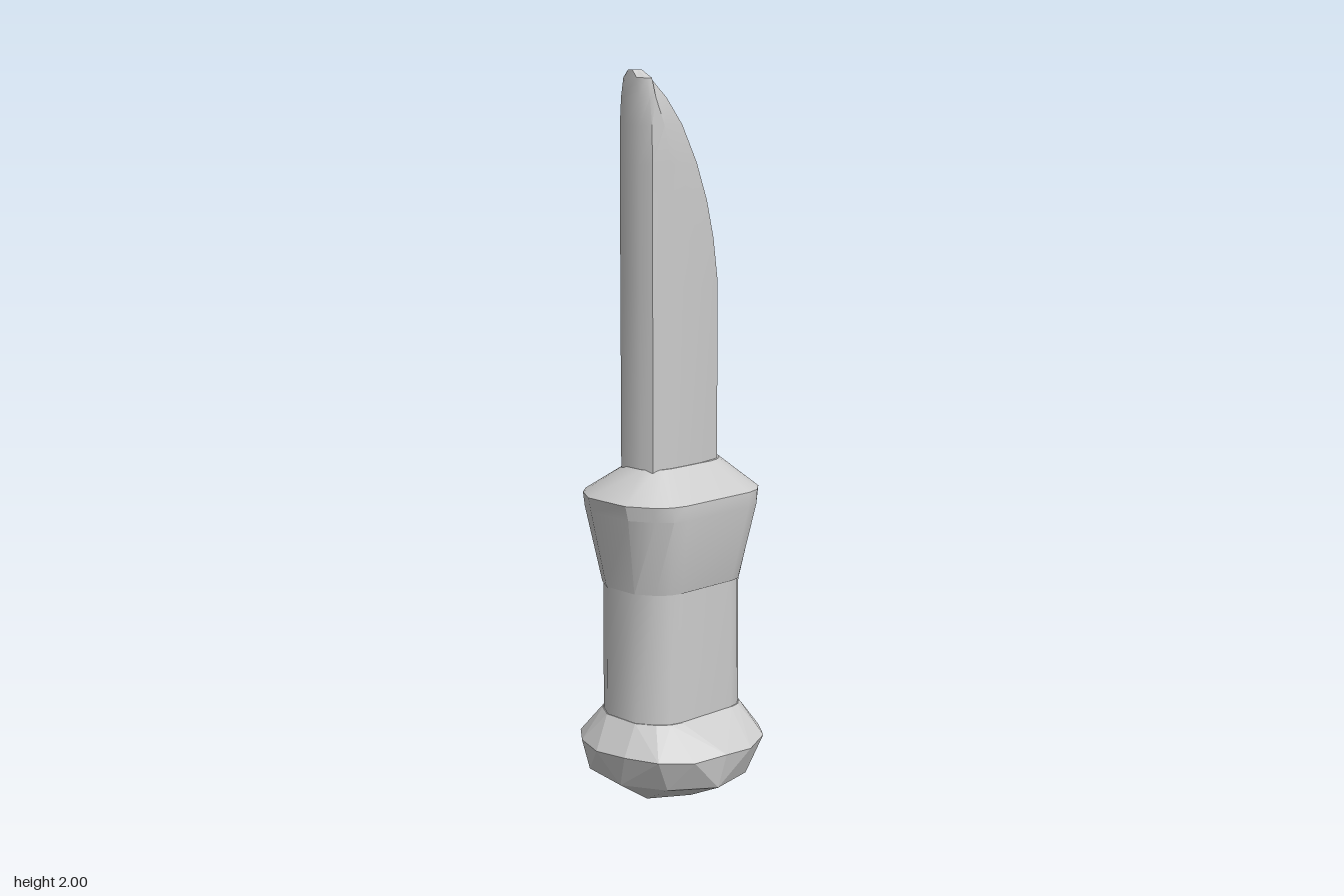
import * as THREE from 'three';
import { toCreasedNormals } from 'three/addons/utils/BufferGeometryUtils.js';
import { ConvexGeometry } from 'three/addons/geometries/ConvexGeometry.js';

// Skin a stack of equal-sized rings (bottom to top) and close both ends.
function loft(rings, crease) {
  const n = rings[0].length, pos = [], index = [];
  rings.forEach(r => r.forEach(p => pos.push(p.x, p.y, p.z)));
  for (let i = 0; i < rings.length - 1; i++) {
    for (let j = 0; j < n; j++) {
      const a = i * n + j, b = i * n + (j + 1) % n;
      index.push(a, a + n, b, b, a + n, b + n);
    }
  }
  const top = (rings.length - 1) * n;
  for (let j = 1; j < n - 1; j++) {
    index.push(0, j, j + 1, top, top + j + 1, top + j);
  }
  const g = new THREE.BufferGeometry();
  g.setAttribute('position', new THREE.Float32BufferAttribute(pos, 3));
  g.setIndex(index);
  return toCreasedNormals(g, crease);
}

// Rounded-rectangle outline shared by the grip and the guard.
const quarter = [[1, 0.5], [0.94, 0.68], [0.76, 0.84], [0.4, 1]];
const mirrored = [...quarter].reverse();
const outline = [
  ...quarter,
  ...mirrored.map(([x, z]) => [-x, z]),
  ...quarter.map(([x, z]) => [-x, -z]),
  ...mirrored.map(([x, z]) => [x, -z]),
];
const handleRing = (y, hx, hz, cx = 0, cz = 0) =>
  outline.map(([x, z]) => new THREE.Vector3(cx + x * hx, y, cz + z * hz));

// Blade outline: flat spine toward +z, rounded edge toward -z.
const bladeOutline = [
  [0.083, -0.03], [0.083, 0.08], [0.07, 0.135], [0.035, 0.147], [-0.03, 0.147], [-0.05, 0.138],
  [-0.06, 0.12], [-0.06, -0.05], [-0.045, -0.1], [0, -0.135], [0.07, -0.105],
];
// The edge sweeps forward by `shift`, the sides narrow by `sx` toward the tip.
const bladeRing = (y, shift, sx) => bladeOutline.map(([x, z]) =>
  new THREE.Vector3(x * sx, y, z < 0 ? Math.min(z + shift, 0.125) : Math.max(z, Math.min(shift - 0.03, 0.125))));

function pommelGeometry() {
  let seed = 7;
  const jitter = s => {
    seed = (seed * 16807) % 2147483647;
    return (seed / 2147483647 - 0.5) * s;
  };
  const points = handleRing(0.27, 0.14, 0.19);
  // Each row: height, radius, number of corners, unevenness
  for (const [y, r, n, s] of [[0.185, 0.252, 16, 0.012], [0.1, 0.222, 10, 0.025], [0.035, 0.12, 6, 0.02]]) {
    for (let i = 0; i < n; i++) {
      const a = ((i + 0.3) / n) * Math.PI * 2, rr = r + jitter(s);
      points.push(new THREE.Vector3(Math.cos(a) * rr, y + jitter(s), Math.sin(a) * rr));
    }
  }
  points.push(new THREE.Vector3(-0.015, 0, -0.015));
  return new ConvexGeometry(points);
}

export function createModel() {
  const group = new THREE.Group();
  const smooth = new THREE.MeshStandardMaterial({ color: 0xcccccc });
  const faceted = new THREE.MeshStandardMaterial({ color: 0xcccccc, flatShading: true });
  const add = (name, geometry, material = smooth) => {
    const mesh = new THREE.Mesh(geometry, material);
    mesh.name = name;
    group.add(mesh);
  };

  add('pommel', pommelGeometry(), faceted);

  add('grip', loft([handleRing(0.26, 0.137, 0.188), handleRing(0.64, 0.135, 0.188)], 0.7));

  // Flared guard with a sloped shoulder up to the blade
  add('guard', loft([
    handleRing(0.63, 0.138, 0.19),
    handleRing(0.84, 0.182, 0.228),
    handleRing(0.88, 0.18, 0.237),
    handleRing(0.96, 0.075, 0.143, 0.011, 0.005),
  ], 0.5));

  // Each row: height, forward sweep of the edge, width scale
  add('blade', loft([
    [0.94, 0, 1], [1.44, 0, 1], [1.56, 0.017, 1], [1.66, 0.042, 1], [1.76, 0.08, 1],
    [1.86, 0.132, 0.98], [1.93, 0.182, 0.88], [1.98, 0.227, 0.7], [2, 0.25, 0.25],
  ].map(r => bladeRing(...r)), 0.5));

  return group;
}
